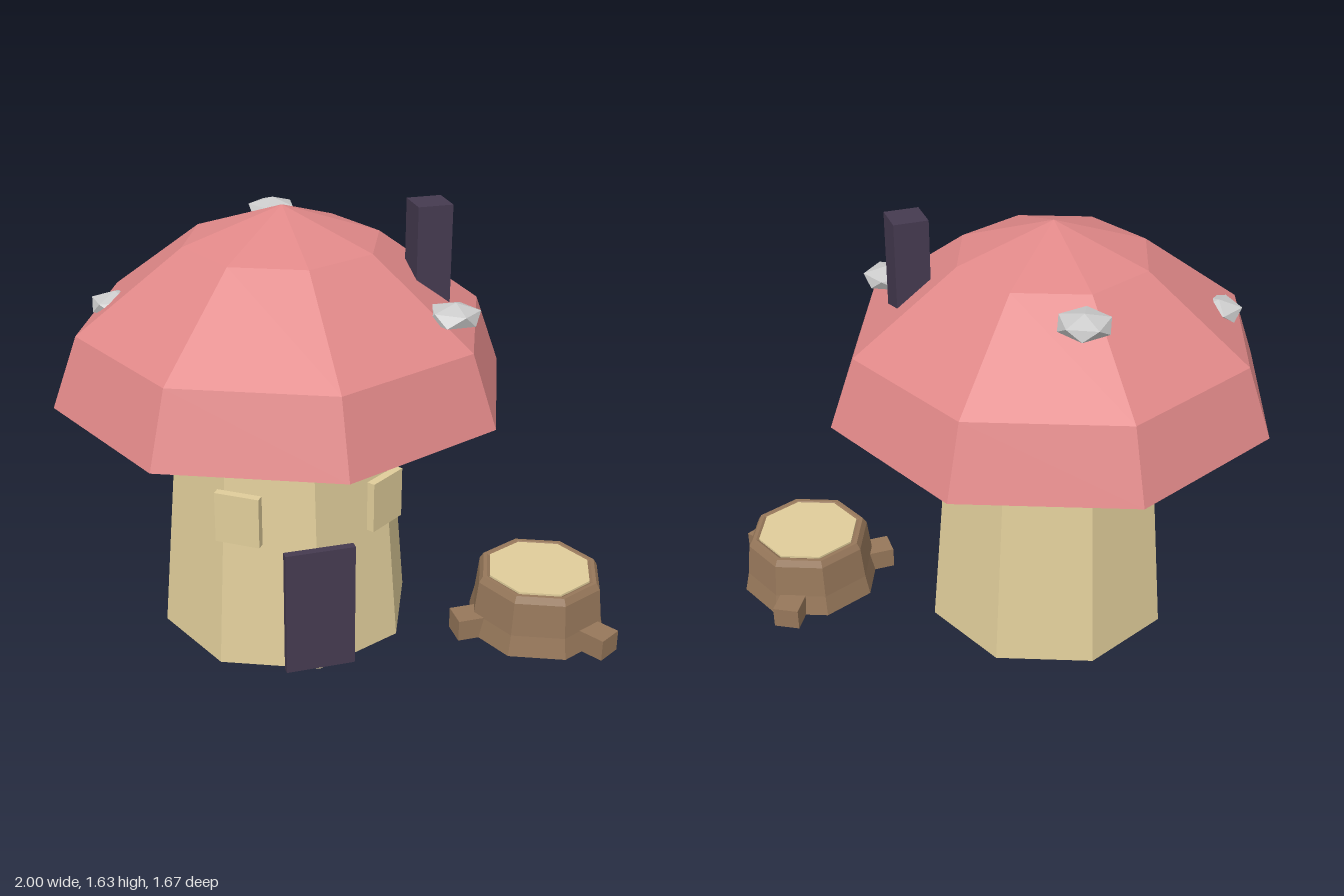
import * as THREE from 'three';

const mat = (color) => new THREE.MeshStandardMaterial({ color, flatShading: true });

export function createModel() {
  const model = new THREE.Group();
  const red = mat(0xe08888), cream = mat(0xe0cd9a), dark = mat(0x453a50);
  const bark = mat(0x96775a), grey = mat(0xcccccc);

  const add = (name, geometry, material, x, y, z, parent = model) => {
    const mesh = new THREE.Mesh(geometry, material);
    mesh.name = name;
    mesh.position.set(x, y, z);
    parent.add(mesh);
    return mesh;
  };
  // Eight-sided turned solid from [radius, height] pairs, bottom to top
  const turned = (pairs) =>
    new THREE.LatheGeometry(pairs.map(([r, y]) => new THREE.Vector2(r, y)), 8);

  // House: tapered stem and faceted cap
  const cx = -0.163;
  add('stem', turned([[0, 0], [0.48, 0], [0.405, 0.87], [0, 0.87]]), cream, cx, 0, 0);
  add('cap', turned([[0, 0.858], [0.4, 0.858], [0.837, 0.94], [0.742, 1.2], [0.357, 1.488], [0, 1.612]]),
    red, cx, 0, 0);

  // Door, chimney and the two angled windows
  add('door', new THREE.BoxGeometry(0.256, 0.485, 0.03), dark, cx, 0.2575, 0.479);
  add('chimney', new THREE.BoxGeometry(0.126, 0.48, 0.126), dark, 0.322, 1.39, 0.162);
  for (const side of [-1, 1]) {
    const win = add(side > 0 ? 'windowLeft' : 'windowRight',
      new THREE.BoxGeometry(0.165, 0.19, 0.03), cream, cx + side * 0.267, 0.615, 0.386);
    win.rotation.y = side * 0.61;
  }

  // Flattened stones on the cap
  const stones = [[0.33, 1.297, 0.405, 0.4], [-0.082, 1.455, -0.486, 1.1], [-0.735, 1.247, -0.167, 2]];
  stones.forEach(([x, y, z, turn], i) => {
    const stone = new THREE.IcosahedronGeometry(0.102, 0);
    stone.rotateZ(0.45).rotateY(turn).scale(1, 0.43, 1);
    add('stone' + (i + 1), stone, grey, x, y, z);
  });

  // Tree stump with a pale cut top and three roots
  const stump = new THREE.Group();
  stump.name = 'stump';
  stump.position.set(0.722, 0, 0.4);
  model.add(stump);
  add('stumpBark', turned([[0, 0], [0.275, 0], [0.257, 0.08], [0.242, 0.21], [0.227, 0.235],
    [0.212, 0.235], [0.2, 0.228], [0, 0.228]]), bark, 0, 0, 0, stump);
  add('stumpTop', new THREE.CylinderGeometry(0.2, 0.2, 0.02, 8), cream, 0, 0.226, 0, stump);
  for (let i = 0; i < 3; i++) {
    const a = Math.PI / 3 + (i * 2 * Math.PI) / 3;
    const root = add('root' + (i + 1), new THREE.BoxGeometry(0.135, 0.083, 0.1), bark,
      Math.cos(a) * 0.268, 0.0415, -Math.sin(a) * 0.268, stump);
    root.rotation.y = a;
  }
  return model;
}
